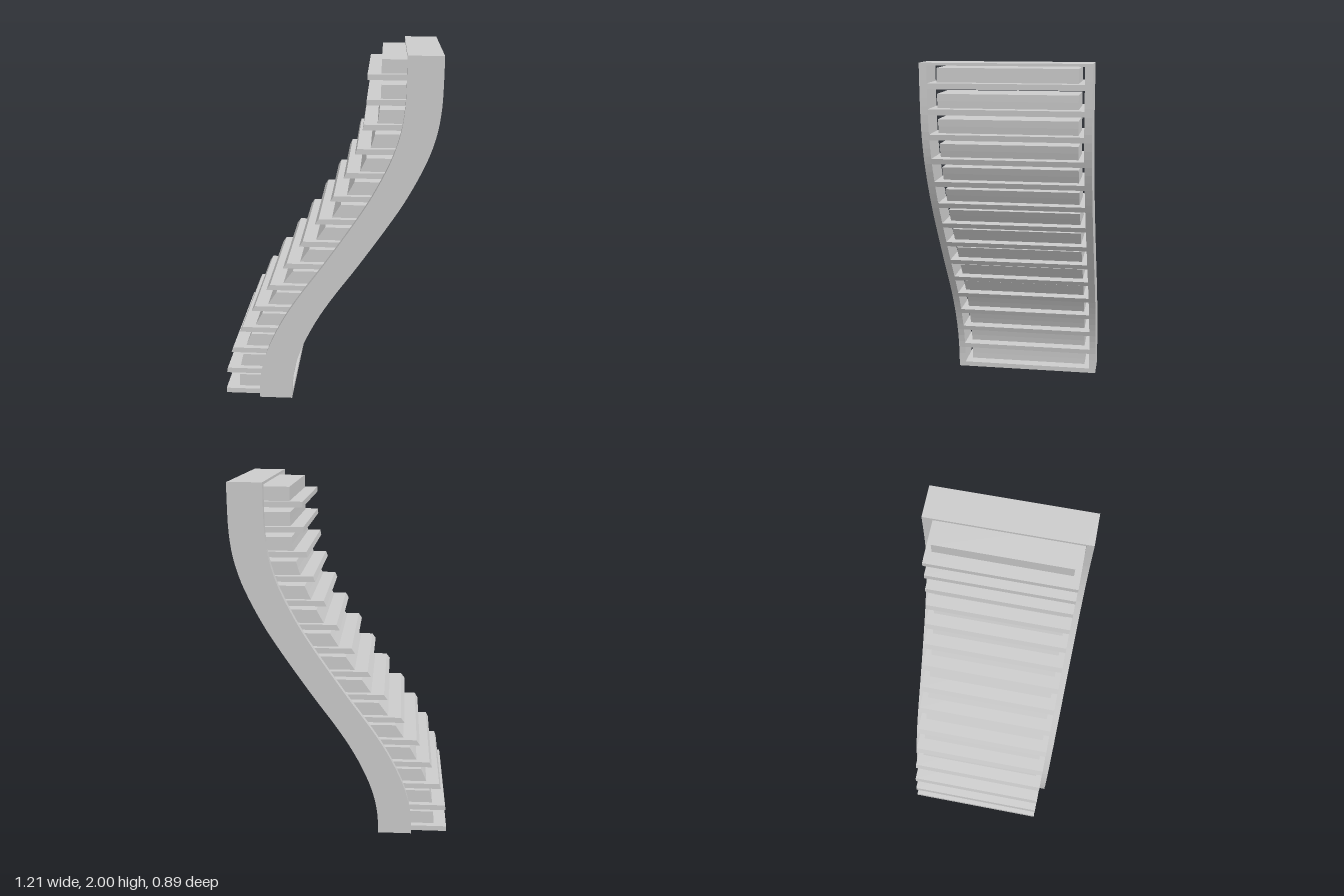
import * as THREE from 'three';

const HEIGHT = 2, STEPS = 15, PITCH = HEIGHT / STEPS;
const DEPTH = 0.19;      // horizontal width of the side panels
const INNER = 0.405;     // half distance between the side panels
const PANEL = 0.04;      // side panel thickness

// S-shaped rear edge: x at evenly spaced heights
const edge = new THREE.SplineCurve(
  [-0.4, -0.393, -0.362, -0.307, -0.235, -0.147, -0.05, 0.043, 0.133, 0.218, 0.29, 0.35, 0.39, 0.408, 0.412, 0.412]
    .map((x, i) => new THREE.Vector2(x, i * PITCH)));
const edgeX = (y) => edge.getPoint(y / HEIGHT).x;

export function createModel() {
  const model = new THREE.Group();
  const material = new THREE.MeshStandardMaterial({ color: 0xcccccc });

  // Slab between two heights whose ends follow the S curve, extruded along z
  function slab(name, y0, y1, from, to, z0, z1, segments) {
    const near = [], far = [];
    for (let i = 0; i <= segments; i++) {
      const y = y0 + (y1 - y0) * i / segments, x = edgeX(y);
      near.push(new THREE.Vector2(x + to, y));
      far.push(new THREE.Vector2(x + from, y));
    }
    const shape = new THREE.Shape([...near, ...far.reverse()]);
    const geometry = new THREE.ExtrudeGeometry(shape, { depth: z1 - z0, bevelEnabled: false });
    geometry.translate(0, 0, z0);
    const mesh = new THREE.Mesh(geometry, material);
    mesh.name = name;
    model.add(mesh);
  }

  // Curved side panels
  slab('sidePanelFront', 0, HEIGHT, 0, DEPTH, INNER, INNER + PANEL, 45);
  slab('sidePanelBack', 0, HEIGHT, 0, DEPTH, -INNER - PANEL, -INNER, 45);

  // Shelves, each carrying a narrower block
  for (let i = 0; i < STEPS; i++) {
    const y = i * PITCH;
    slab('shelf' + (i + 1), y, y + 0.03, -0.205, DEPTH, -INNER, INNER, 1);
    slab('block' + (i + 1), y + 0.03, y + 0.104, -0.132, DEPTH - 0.07, -0.37, 0.37, 2);
  }

  // Thin cap closing the top
  slab('topCap', HEIGHT - 0.014, HEIGHT, 0, DEPTH, -INNER, INNER, 1);
  return model;
}
